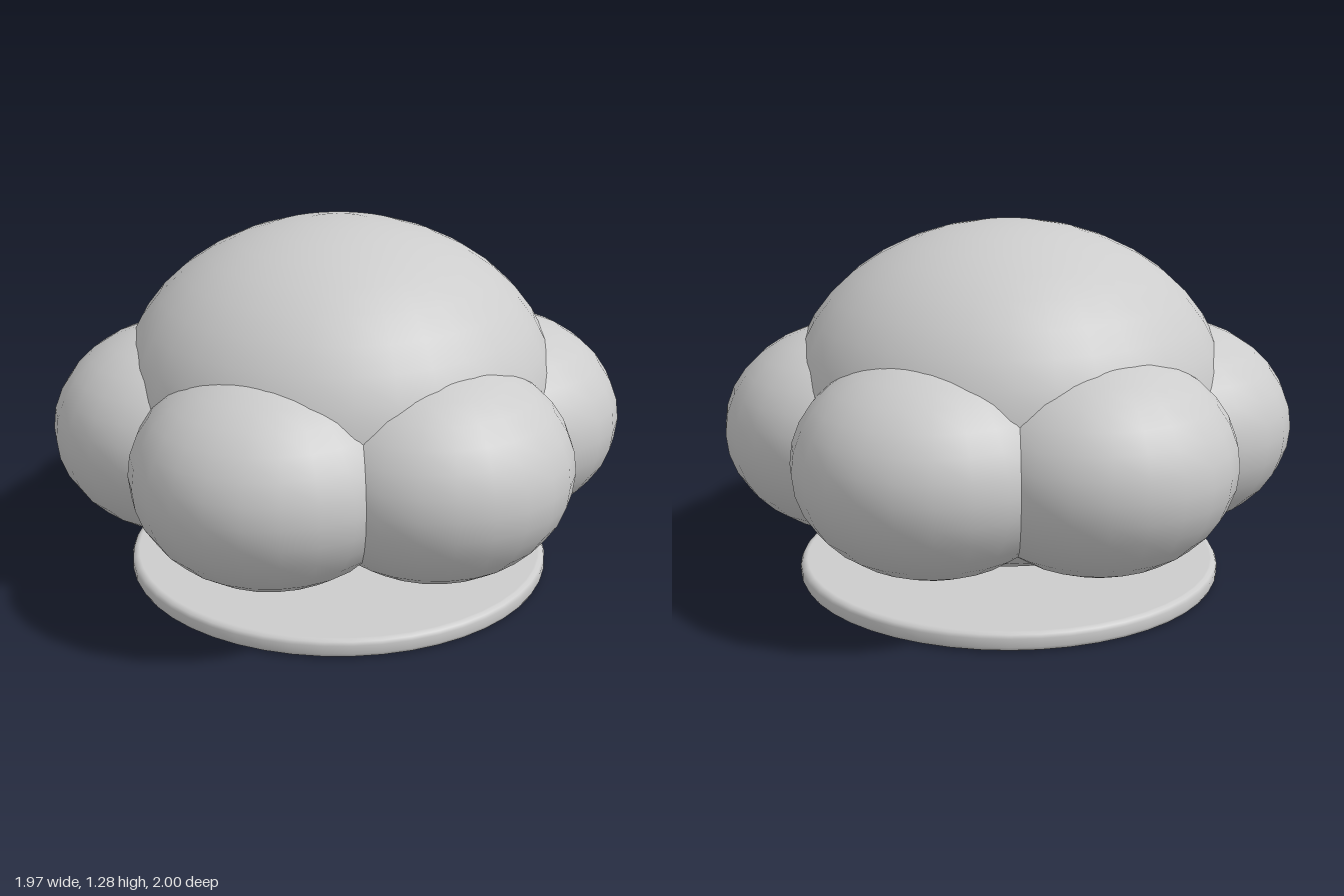
import * as THREE from 'three';

export function createModel() {
  const group = new THREE.Group();
  group.name = 'lobedCushion';
  const grey = new THREE.MeshStandardMaterial({ color: 0xcccccc });
  grey.name = 'light grey';

  function add(name, geometry) {
    const mesh = new THREE.Mesh(geometry, grey);
    mesh.name = name;
    group.add(mesh);
    return mesh;
  }

  // Flattened central dome
  const dome = add('dome', new THREE.SphereGeometry(1, 32, 20));
  dome.scale.set(0.77, 0.607, 0.77);
  dome.position.y = 0.675;

  // Ring of six squashed lobes around the dome
  const ringRadius = 0.54;
  const lobeGeometry = new THREE.SphereGeometry(1, 24, 16);
  for (let i = 0; i < 6; i++) {
    const angle = THREE.MathUtils.degToRad(42.7 + i * 60);
    const lobe = add('lobe' + (i + 1), lobeGeometry);
    lobe.scale.set(0.472, 0.376, 0.472);
    lobe.position.set(Math.cos(angle) * ringRadius, 0.555, Math.sin(angle) * ringRadius);
    lobe.rotation.y = -angle;
  }

  // Thin round base plate with softened rim
  const profile = [
    [0, 0], [0.735, 0], [0.742, 0], [0.754, 0.006], [0.76, 0.018],
    [0.76, 0.047], [0.754, 0.059], [0.742, 0.065], [0.735, 0.065], [0, 0.065],
  ].map(([r, y]) => new THREE.Vector2(r, y));
  add('basePlate', new THREE.LatheGeometry(profile, 48));

  return group;
}
